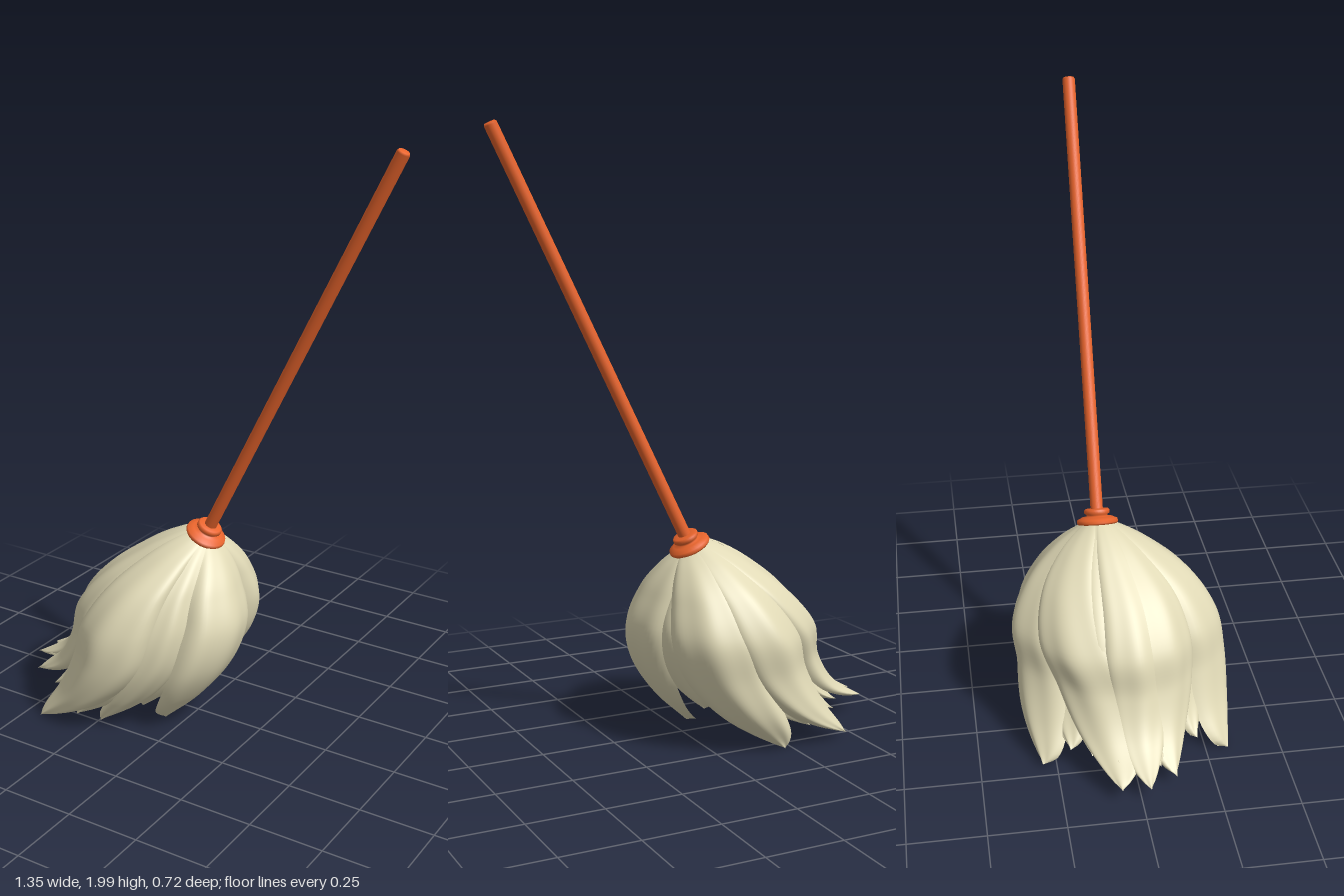
import * as THREE from 'three';

const orange = new THREE.MeshStandardMaterial({ color: 0xe8642c });
const yarn = new THREE.MeshStandardMaterial({ color: 0xe0d9b6, side: THREE.DoubleSide });
const AXIS_Z = -0.05;
const TOP = new THREE.Vector3(0.66, 1.99, AXIS_Z);
const BOTTOM = new THREE.Vector3(-0.3, 0.05, AXIS_Z);
const DIR = TOP.clone().sub(BOTTOM).normalize();

// Envelope of the mop head, top to bottom: [y, centre x, radius x, centre z, radius z]
const LEVELS = [
  [0.66, -0.005, 0.035, -0.05, 0.035],
  [0.59, -0.06, 0.145, -0.04, 0.165],
  [0.5, -0.103, 0.24, -0.025, 0.275],
  [0.38, -0.135, 0.312, -0.015, 0.345],
  [0.25, -0.165, 0.312, 0, 0.355],
  [0.12, -0.245, 0.305, 0, 0.355],
  [0.005, -0.37, 0.31, 0.005, 0.335],
];
const spline = (pick) => new THREE.CatmullRomCurve3(
  LEVELS.map((l) => new THREE.Vector3(...pick(l))), false, 'catmullrom', 0.5);
const sideCurve = spline((l) => [l[0], l[1], l[2]]);
const depthCurve = spline((l) => [l[3], l[4], 0]);

// One lock of yarn: a bowed strip that follows the envelope and narrows to a tip
function lockGeometry([angle, tipAngle, half, lift, scale, length]) {
  const geo = new THREE.PlaneGeometry(1, 1, 28, 44);
  const pos = geo.attributes.position;
  for (let i = 0; i < pos.count; i++) {
    const u = pos.getX(i) * 2;
    const t = 0.5 - pos.getY(i);
    const a = sideCurve.getPoint(t * length);
    const b = depthCurve.getPoint(t * length);
    const s = Math.max(0, (t - 0.45) / 0.55);
    const width = half * (1 - s ** 3) ** 0.8;
    const mid = THREE.MathUtils.lerp(angle, tipAngle, t * t * (3 - 2 * t));
    const theta = THREE.MathUtils.degToRad(mid - u * width);
    // Rounded back, tucked edges and soft ridges
    const relief = Math.sin(Math.PI * 0.5 * Math.min(1, t * 1.5 + 0.1)) * (1 - 0.6 * s);
    const dent = relief * (0.17 * u ** 4 + 0.06 * u * u + 0.03 * u + 0.015 * (1 - Math.cos(u * 8)));
    // The swept side gathers towards its middle near the floor
    const gather = Math.cos(theta) < 0 ? 0.13 * t * t * Math.sin(2 * theta) ** 2 : 0;
    const r = scale * (1 - dent) * (1 - gather);
    const x = a.y + a.z * r * Math.cos(theta);
    const z = b.x + b.y * r * Math.sin(theta);
    const y = a.x - 0.45 * x * (1 - t) ** 10 + lift * t ** 5;
    pos.setXYZ(i, x, y, z);
  }
  geo.computeVertexNormals();
  return geo;
}

// Each lock: [angle at collar, angle at tip, half width, tip lift, scale, length]
// Angles run from the model's left (+x) round through the front (+z)
const OUTER = [
  [5, 17, 32, 0, 1.02, 1],
  [48, 60, 24, 0.01, 0.87, 1],
  [94, 104, 36, 0, 1.02, 1],
  [141, 158, 28, 0.02, 0.99, 0.97],
  [170, 176, 24, 0.05, 1, 1],
  [199, 192, 26, 0.05, 0.94, 0.93],
  [232, 192, 33, 0.05, 1.01, 1],
  [273, 250, 33, 0.01, 1.01, 0.99],
  [312, 297, 32, 0, 1.03, 1],
];
const INNER = [
  [30, 36, 26, 0.02, 0.82, 0.94],
  [74, 82, 26, 0.01, 0.87, 0.97],
  [119, 128, 26, 0.02, 0.9, 0.93],
  [156, 167, 24, 0.05, 0.9, 0.96],
  [215, 212, 28, 0.03, 0.88, 0.93],
  [252, 232, 30, 0.03, 0.88, 0.94],
  [292, 270, 28, 0.02, 0.88, 0.94],
  [338, 338, 28, 0.02, 0.87, 0.87],
];

function addLocks(group, rows, name) {
  for (const row of rows) {
    const mesh = new THREE.Mesh(lockGeometry(row), yarn);
    mesh.name = name;
    group.add(mesh);
  }
}

export function createModel() {
  const model = new THREE.Group();
  model.name = 'mop';

  // Tilted pole with its collar
  const pole = new THREE.Group();
  pole.name = 'pole';
  pole.position.copy(BOTTOM);
  pole.quaternion.setFromUnitVectors(new THREE.Vector3(0, 1, 0), DIR);
  const length = TOP.distanceTo(BOTTOM);
  const rod = [[0, 0], [0.018, 0], [0.021, 0.004], [0.021, length - 0.006], [0.017, length], [0, length]];
  // Collar heights are measured along the pole
  const h = 0.676;
  const ring = [[0.02, -0.012], [0.066, -0.012], [0.07, -0.006], [0.068, 0.004], [0.05, 0.012],
    [0.036, 0.014], [0.036, 0.02], [0.043, 0.024], [0.043, 0.034], [0.038, 0.039], [0.02, 0.04]]
    .map(([r, y]) => [r, y + h]);
  for (const [name, profile] of [['handle', rod], ['collar', ring]]) {
    const mesh = new THREE.Mesh(
      new THREE.LatheGeometry(profile.map((p) => new THREE.Vector2(...p)), 32), orange);
    mesh.name = name;
    pole.add(mesh);
  }
  model.add(pole);

  // Yarn head: overlapping outer locks over a slightly smaller inner layer
  const head = new THREE.Group();
  head.name = 'mopHead';
  addLocks(head, OUTER, 'outerLock');
  addLocks(head, INNER, 'innerLock');
  model.add(head);

  return model;
}
